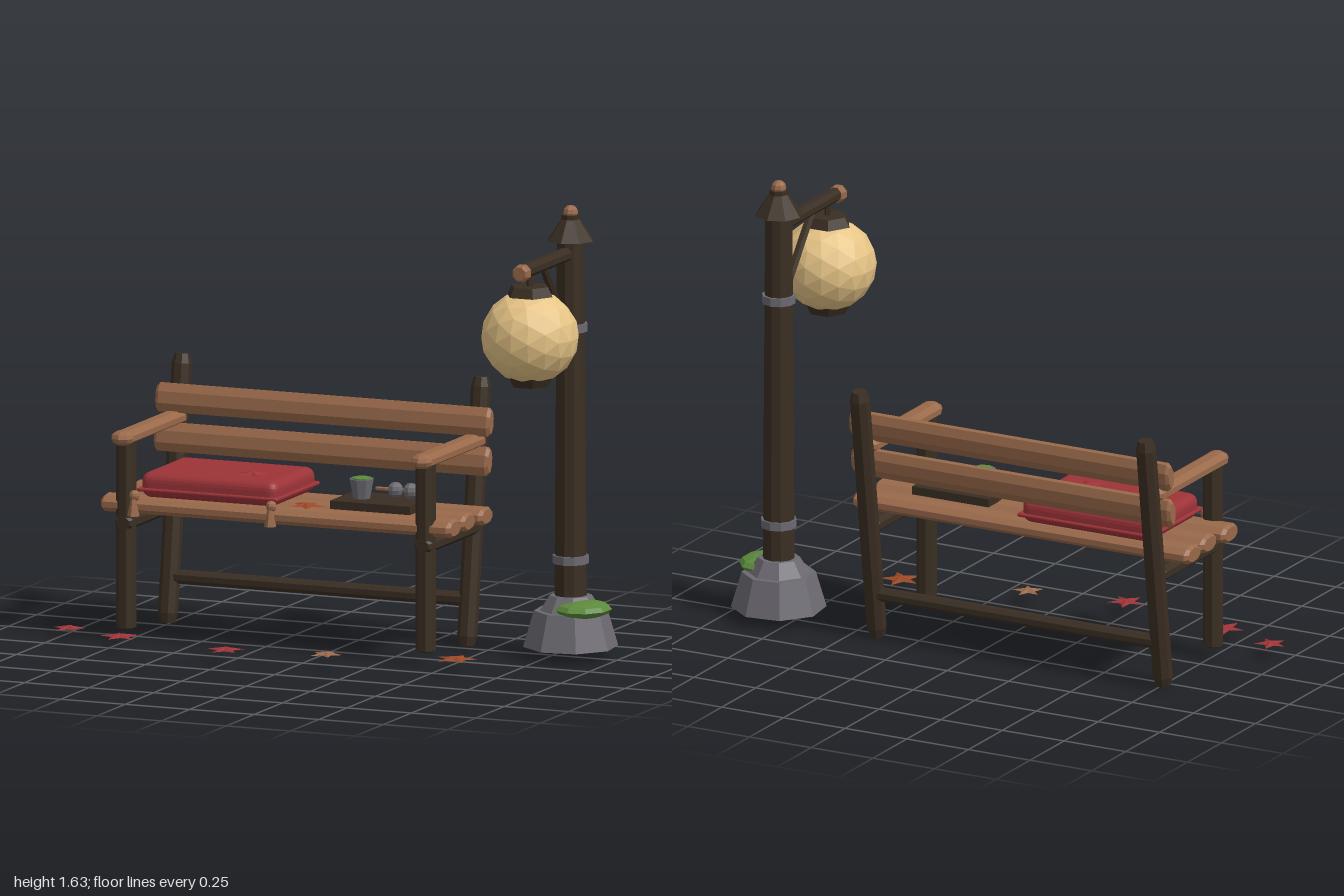
import * as THREE from 'three';
import { RoundedBoxGeometry } from 'three/addons/geometries/RoundedBoxGeometry.js';

const paint = (name, color) => {
  const m = new THREE.MeshStandardMaterial({ color, flatShading: true });
  m.name = name;
  return m;
};

export function createModel() {
  const wood = paint('warm wood', 0x99694a);
  const dark = paint('dark wood', 0x3a2e22);
  const red = paint('red', 0x9c3338);
  const orange = paint('rust orange', 0x9a4826);
  const stone = paint('stone grey', 0x6c6a71);
  const green = paint('moss green', 0x5c8a3c);
  const paper = paint('lantern paper', 0xe6c486);

  const model = new THREE.Group();
  const bench = new THREE.Group();
  const lamp = new THREE.Group();
  const leaves = new THREE.Group();
  bench.name = 'bench';
  lamp.name = 'lampPost';
  leaves.name = 'fallenLeaves';
  model.add(bench, lamp, leaves);

  const add = (parent, name, geometry, material, x = 0, y = 0, z = 0) => {
    const mesh = new THREE.Mesh(geometry, material);
    mesh.name = name;
    mesh.position.set(x, y, z);
    parent.add(mesh);
    return mesh;
  };

  // Log with chamfered ends between two points; rx and rz are its half widths
  const log = (parent, name, material, a, b, rx, rz = rx, { sides = 8, bevel = 0.012, taper = 1 } = {}) => {
    const from = new THREE.Vector3(...a), to = new THREE.Vector3(...b);
    const dir = to.clone().sub(from), h = dir.length() / 2;
    const profile = [[0, -h], [0.75, -h], [1, bevel - h], [taper, h - bevel], [0.75 * taper, h], [0, h]];
    const geometry = new THREE.LatheGeometry(profile.map(p => new THREE.Vector2(...p)), sides);
    geometry.rotateY(Math.PI / sides).scale(rx, 1, rz);
    const mid = from.add(to).multiplyScalar(0.5);
    const mesh = add(parent, name, geometry, material, mid.x, mid.y, mid.z);
    mesh.quaternion.setFromUnitVectors(new THREE.Vector3(0, 1, 0), dir.normalize());
    return mesh;
  };

  const ball = (parent, name, material, r, x, y, z, sy = 1) =>
    add(parent, name, new THREE.SphereGeometry(r, 8, 6).scale(1, sy, 1), material, x, y, z);

  // Bench sides: legs, leaning back posts, seat rails and armrests
  for (const x of [-0.755, 0.405]) {
    log(bench, 'frontLeg', dark, [x, 0.045, 0.086], [x, 0.725, 0.086], 0.036, 0.036, { bevel: 0.005 });
    log(bench, 'backPost', dark, [x, 0.005, -0.278], [x, 0.955, -0.41], 0.036, 0.036, { bevel: 0.035 });
    log(bench, 'seatRail', dark, [x, 0.43, 0.12], [x, 0.43, -0.33], 0.038, 0.03);
    log(bench, 'armrest', wood, [x, 0.737, 0.13], [x, 0.737, -0.36], 0.046, 0.026);
    ball(bench, 'armrestKnob', wood, 0.044, x, 0.737, 0.115, 0.65);
  }
  log(bench, 'backStretcher', dark, [-0.75, 0.17, -0.301], [0.4, 0.17, -0.301], 0.026);

  // Flattened half-log slats
  for (const [z, l, r] of [[0.05, -0.85, 0.505], [-0.088, -0.84, 0.5], [-0.222, -0.85, 0.51]])
    log(bench, 'seatSlat', wood, [l, 0.49, z], [r, 0.49, z], 0.034, 0.062, { sides: 10 });
  for (const [y, z] of [[0.806, -0.338], [0.667, -0.325]])
    log(bench, 'backSlat', wood, [-0.82, y, z], [0.475, y, z], 0.056, 0.026).rotateY(-0.137);

  // Cushion with piping and two corner toggles
  add(bench, 'cushion', new RoundedBoxGeometry(0.53, 0.092, 0.37, 3, 0.035), red, -0.44, 0.566, -0.098);
  add(bench, 'cushionPiping', new RoundedBoxGeometry(0.544, 0.014, 0.386, 2, 0.006), red, -0.44, 0.55, -0.098);
  for (const x of [-0.715, -0.185]) {
    ball(bench, 'toggleKnob', wood, 0.02, x, 0.53, 0.105);
    add(bench, 'toggleTassel', new THREE.CylinderGeometry(0.01, 0.022, 0.06, 6), wood, x, 0.488, 0.115);
  }

  // Serving tray with a cup of tea and a skewer of dumplings
  add(bench, 'tray', new THREE.BoxGeometry(0.31, 0.03, 0.205), dark, 0.16, 0.535, -0.083);
  add(bench, 'cup', new THREE.CylinderGeometry(0.046, 0.032, 0.07, 8), stone, 0.087, 0.585, -0.075);
  add(bench, 'tea', new THREE.CylinderGeometry(0.036, 0.036, 0.006, 8), green, 0.087, 0.621, -0.075);
  log(bench, 'skewer', wood, [0.13, 0.584, -0.1], [0.362, 0.584, -0.1], 0.007, 0.007, { sides: 6, bevel: 0.003 });
  [stone, stone, green].forEach((m, i) =>
    ball(bench, 'dumpling', m, 0.029, 0.207 + i * 0.06, 0.584, -0.1));

  // Lamp post on a stone foot
  const X = 0.82, Z = -0.25;
  const drum = (name, m, top, bottom, y0, y1, sides = 8, z = Z, turn = 0) =>
    add(lamp, name, new THREE.CylinderGeometry(top, bottom, y1 - y0, sides).rotateY(turn), m, X, (y0 + y1) / 2, z);
  drum('stoneFoot', stone, 0.132, 0.17, 0.04, 0.17, 8, Z, 0.52);
  drum('stoneCollar', stone, 0.075, 0.112, 0.168, 0.225, 8, Z, 0.52);
  drum('post', dark, 0.049, 0.058, 0.2, 1.52, 10);
  for (const [y, r] of [[0.355, 0.065], [1.192, 0.061]])
    drum('metalBand', stone, r, r, y - 0.015, y + 0.015, 10);
  add(lamp, 'moss', new THREE.SphereGeometry(1, 9, 6).scale(0.1, 0.031, 0.112), green, 0.887, 0.185, -0.212);

  // Roof cap and finial
  drum('roof', dark, 0.034, 0.086, 1.505, 1.582);
  drum('roofNeck', dark, 0.034, 0.034, 1.58, 1.598);
  ball(lamp, 'finial', wood, 0.028, X, 1.604, Z);

  // Arm and brace
  log(lamp, 'arm', dark, [X, 1.46, Z], [X, 1.46, 0.18], 0.026);
  log(lamp, 'armEnd', wood, [X, 1.457, 0.162], [X, 1.457, 0.203], 0.032, 0.032, { bevel: 0.006 });
  log(lamp, 'brace', dark, [X, 1.445, -0.01], [X, 1.2, -0.205], 0.016, 0.016, { sides: 6 });

  // Round paper lantern with hexagonal end caps
  const LZ = 0.11;
  drum('hanger', dark, 0.012, 0.012, 1.38, 1.45, 6, LZ);
  add(lamp, 'lantern', new THREE.IcosahedronGeometry(0.175, 2).scale(1, 0.96, 1), paper, X, 1.217, LZ);
  drum('lanternTop', dark, 0.07, 0.088, 1.365, 1.4, 6, LZ, Math.PI / 6);
  drum('lanternBottom', dark, 0.088, 0.07, 1.04, 1.075, 6, LZ, Math.PI / 6);

  // Five-pointed leaf: a low cone with every second rim point pulled in
  const leafGeometry = new THREE.ConeGeometry(1, 0.012, 10, 1);
  const p = leafGeometry.attributes.position;
  for (let i = 0; i < p.count; i++) {
    const step = Math.round(Math.atan2(p.getX(i), p.getZ(i)) / (Math.PI / 5));
    if (Math.abs(step) % 2 === 0) p.setXYZ(i, p.getX(i) * 0.42, p.getY(i), p.getZ(i) * 0.42);
  }
  const leafSpots = [
    [-0.93, 0.056, 0.195, 0.062, red, 0.2], [-0.7, 0.056, 0.27, 0.076, red, 0.45],
    [-0.25, 0.056, 0.365, 0.07, red, 0.3], [0.115, 0.056, 0.305, 0.06, wood, -0.1],
    [0.575, 0.056, 0.205, 0.08, orange, 0.05], [-0.32, 0.617, -0.04, 0.066, red, 0.1],
    [-0.09, 0.529, 0.01, 0.07, orange, -0.2],
  ];
  for (const [x, y, z, r, m, turn] of leafSpots) {
    const leaf = add(leaves, 'leaf', leafGeometry, m, x, y, z);
    leaf.scale.set(r, 1, r);
    leaf.rotation.y = turn;
  }
  return model;
}
